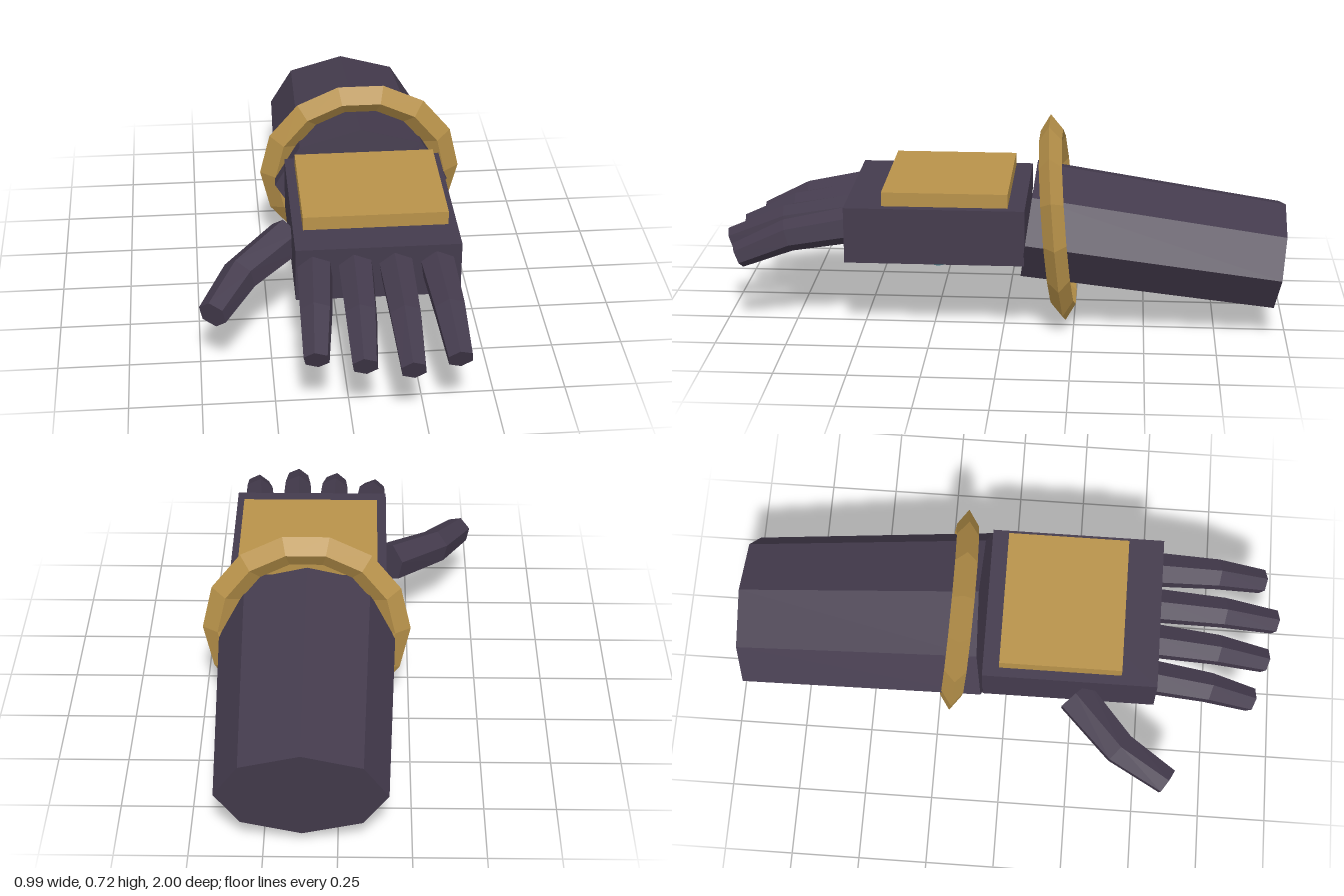
import * as THREE from 'three';

const mat = (name, color) => {
  const m = new THREE.MeshStandardMaterial({ color, flatShading: true });
  m.name = name;
  return m;
};

// Six-sided tapered limb through a few points [x, y, z, radius], capped at both ends
function limbGeometry(path, phase = 1.71) {
  const sides = 6;
  const pts = path.map(p => new THREE.Vector3(p[0], p[1], p[2]));
  const up = new THREE.Vector3(0, 1, 0);
  const pos = [], index = [];
  pts.forEach((c, i) => {
    const before = pts[Math.max(i - 1, 0)], after = pts[Math.min(i + 1, pts.length - 1)];
    const t = after.clone().sub(before).normalize();
    const side = up.clone().cross(t).normalize();
    const top = t.clone().cross(side);
    for (let j = 0; j < sides; j++) {
      const a = phase + (j / sides) * Math.PI * 2, r = path[i][3];
      const v = c.clone().addScaledVector(side, r * Math.cos(a)).addScaledVector(top, r * Math.sin(a));
      pos.push(v.x, v.y, v.z);
    }
  });
  const last = (pts.length - 1) * sides;
  for (let i = 0; i < last; i += sides) {
    for (let j = 0; j < sides; j++) {
      const k = (j + 1) % sides;
      index.push(i + j, i + k, i + sides + k, i + j, i + sides + k, i + sides + j);
    }
  }
  for (let j = 1; j < sides - 1; j++) {
    index.push(0, j + 1, j, last, last + j, last + j + 1);
  }
  const g = new THREE.BufferGeometry();
  g.setAttribute('position', new THREE.Float32BufferAttribute(pos, 3));
  g.setIndex(index);
  const flat = g.toNonIndexed();
  flat.computeVertexNormals();
  return flat;
}

export function createModel() {
  const group = new THREE.Group();
  const glove = mat('darkGlove', 0x443b4d);
  const gold = mat('agedGold', 0xb8924a);
  const teal = mat('tealGem', 0x6fbfd0);
  const cx = 0.12;

  const add = (name, geometry, material, x = 0, y = 0, z = 0) => {
    const mesh = new THREE.Mesh(geometry, material);
    mesh.name = name;
    mesh.position.set(x, y, z);
    group.add(mesh);
    return mesh;
  };

  // Palm and the plate on the back of the hand
  add('palm', new THREE.BoxGeometry(0.57, 0.2, 0.63), glove, cx, 0.38, 0.235);
  add('backPlate', new THREE.BoxGeometry(0.505, 0.06, 0.44), gold, cx + 0.002, 0.5, 0.2);

  // Forearm: flattened octagonal taper, sloping down to the back
  const arm = add('forearm', new THREE.CylinderGeometry(0.32, 0.29, 0.897, 8), glove, cx, 0.307, -0.528);
  arm.rotation.x = 1.436;
  arm.scale.z = 0.645;

  // Wrist ring with a diamond section
  const ring = add('wristRing', new THREE.TorusGeometry(0.317, 0.056, 4, 14), gold, cx + 0.002, 0.366, -0.187);
  ring.rotation.x = 0.09;
  ring.scale.z = 0.72;

  // Hexagonal gem and its rim under the palm
  const rim = add('gemRim', new THREE.TorusGeometry(0.197, 0.033, 4, 6), teal, cx, 0.263, 0.23);
  rim.rotation.x = Math.PI / 2;
  rim.scale.z = 0.6;
  add('palmGem', new THREE.CylinderGeometry(0.15, 0.15, 0.03, 6, 1, false, Math.PI / 2), teal, cx, 0.27, 0.23);

  // Fingers: [name, base x, tip x, tip z]
  const fingers = [
    ['indexFinger', -0.098, -0.12, 0.905],
    ['middleFinger', 0.043, 0.036, 0.953],
    ['ringFinger', 0.182, 0.192, 0.986],
    ['littleFinger', 0.325, 0.352, 0.936],
  ];
  for (const [name, x0, x1, z1] of fingers) {
    const zk = 0.54 + (z1 - 0.54) * 0.55;
    add(name, limbGeometry([
      [x0, 0.392, 0.54, 0.065],
      [x0 + (x1 - x0) * 0.5, 0.354, zk, 0.058],
      [x1, 0.28, z1, 0.046],
    ]), glove);
  }

  // Thumb
  add('thumb', limbGeometry([
    [-0.175, 0.355, 0.26, 0.075],
    [-0.352, 0.315, 0.433, 0.066],
    [-0.453, 0.277, 0.612, 0.053],
  ]), glove);

  return group;
}
